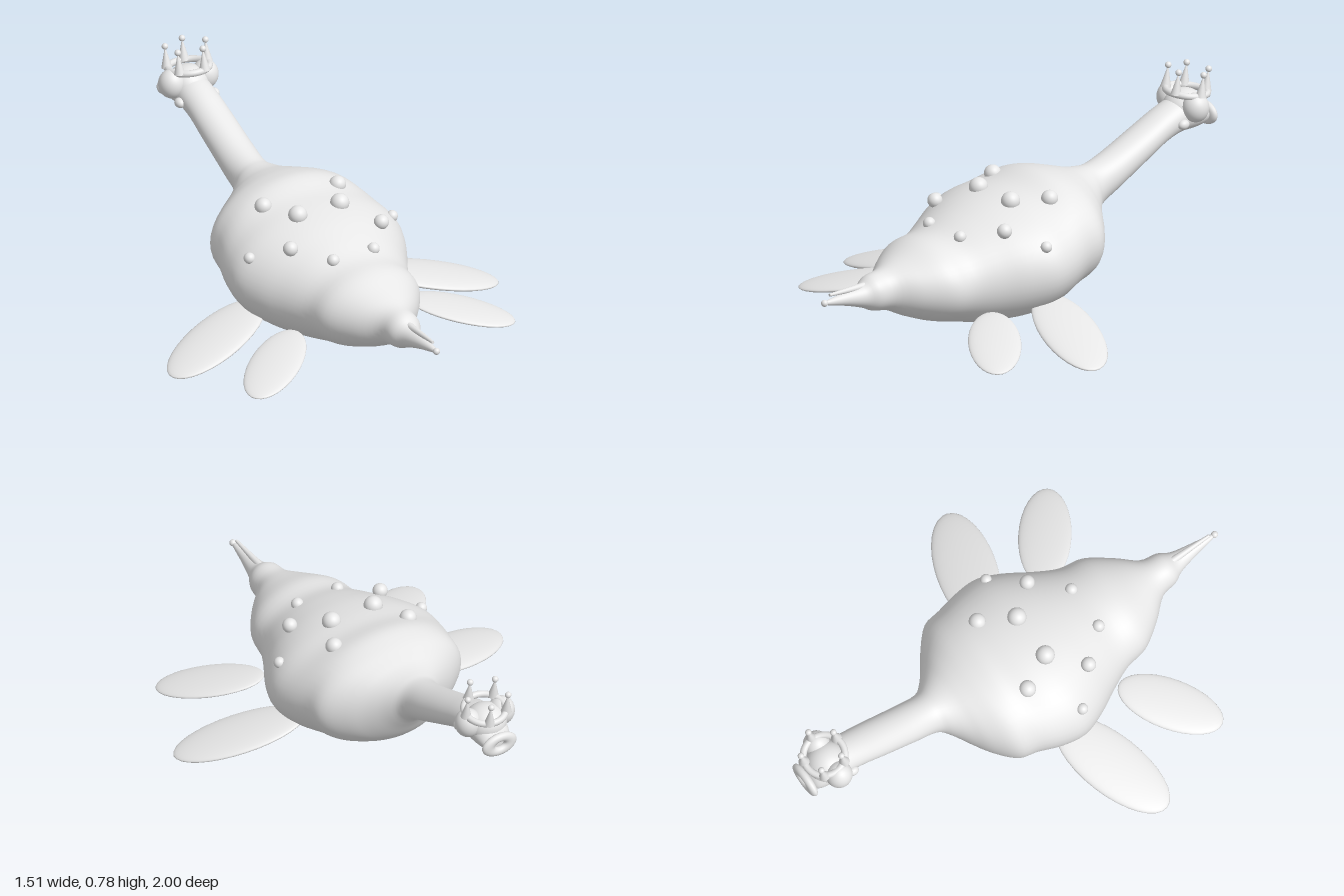
import * as THREE from 'three';

export function createModel() {
  const root = new THREE.Group();
  const grey = new THREE.MeshStandardMaterial({ color: 0xe7e7e7 });
  grey.name = 'pale grey';

  const add = (name, geometry, position, scale = [1, 1, 1], parent = root) => {
    const mesh = new THREE.Mesh(geometry, grey);
    mesh.name = name;
    mesh.position.set(...position);
    mesh.scale.set(...scale);
    parent.add(mesh);
    return mesh;
  };
  const ball = new THREE.SphereGeometry(1, 32, 20);

  // Body, neck and tail: elliptical sections as [z, half width, bottom, top]
  const sections = [
    [0.98, 0.001, 0.257, 0.259], [0.97, 0.01, 0.248, 0.268], [0.88, 0.026, 0.222, 0.276],
    [0.8, 0.044, 0.193, 0.285], [0.75, 0.07, 0.168, 0.312], [0.68, 0.085, 0.152, 0.322],
    [0.6, 0.155, 0.11, 0.35], [0.5, 0.222, 0.068, 0.388], [0.4, 0.242, 0.04, 0.402],
    [0.3, 0.29, 0.014, 0.44], [0.2, 0.347, 0.004, 0.472], [0.1, 0.384, 0.007, 0.492],
    [0, 0.375, 0.022, 0.505], [-0.1, 0.347, 0.05, 0.53], [-0.18, 0.328, 0.075, 0.52],
    [-0.25, 0.255, 0.11, 0.5], [-0.3, 0.185, 0.16, 0.485], [-0.35, 0.123, 0.235, 0.478],
    [-0.4, 0.086, 0.295, 0.48], [-0.5, 0.082, 0.35, 0.51], [-0.65, 0.08, 0.43, 0.572],
    [-0.75, 0.077, 0.48, 0.615], [-0.83, 0.077, 0.502, 0.64], [-0.9, 0.077, 0.502, 0.64],
    [-0.95, 0.066, 0.508, 0.61], [-0.972, 0.045, 0.52, 0.58], [-0.975, 0.001, 0.549, 0.551],
  ];
  const curve = (pick) => new THREE.CatmullRomCurve3(
    sections.map((s) => new THREE.Vector3(...pick(s))), false, 'catmullrom', 0.5);
  const widths = curve((s) => [s[0], s[1], 0]);
  const heights = curve((s) => [s[0], s[2], s[3]]);
  const rings = (sections.length - 1) * 4, sides = 48;
  const points = [], faces = [];
  for (let i = 0; i <= rings; i++) {
    const w = widths.getPoint(i / rings), h = heights.getPoint(i / rings);
    for (let j = 0; j < sides; j++) {
      const a = (j / sides) * Math.PI * 2;
      points.push(w.y * Math.cos(a), (h.y + h.z) / 2 + ((h.z - h.y) / 2) * Math.sin(a), w.x);
      if (i === rings) continue;
      const p = i * sides + j, q = i * sides + ((j + 1) % sides);
      faces.push(p, p + sides, q, q, p + sides, q + sides);
    }
  }
  const bodyGeometry = new THREE.BufferGeometry();
  bodyGeometry.setAttribute('position', new THREE.Float32BufferAttribute(points, 3));
  bodyGeometry.setIndex(faces);
  bodyGeometry.computeVertexNormals();
  add('body', bodyGeometry, [0, 0, 0]);

  // Tail tip with a small spike above it
  add('tailTip', ball, [0, 0.26, 0.986], [0.014, 0.014, 0.014]);
  const spike = add('tailSpike', new THREE.CylinderGeometry(0.006, 0.016, 0.19, 16), [0, 0.283, 0.865]);
  spike.rotation.x = Math.PI / 2 - 0.05;

  // Mirrored parts
  for (const side of [1, -1]) {
    const label = side > 0 ? 'left' : 'right';

    // Flippers: thin paddles sloping down and swept towards the tail
    const flipper = (name, [x, y, z], sweep, droop, size) => {
      const m = add(label + name, ball, [side * x, y, z], size);
      m.rotation.order = 'YZX';
      m.rotation.y = -side * sweep;
      m.rotation.z = -side * droop;
    };
    flipper('LargeFlipper', [0.5, 0.066, 0.143], 0.33, 0.225, [0.274, 0.024, 0.122]);
    flipper('SmallFlipper', [0.43, 0.085, 0.472], 0.66, 0.2, [0.22, 0.02, 0.105]);

    // Warts on the back: x, y, z, radius
    for (const [x, y, z, r] of [
      [0.172, 0.485, -0.035, 0.034], [0.097, 0.488, 0.103, 0.038], [0.33, 0.368, 0.118, 0.023],
      [0.21, 0.429, 0.232, 0.03], [0.093, 0.403, 0.362, 0.025],
    ]) add(label + 'Wart', ball, [side * x, y, z], [r, r, r]);

    add(label + 'Eye', ball, [side * 0.077, 0.615, -0.875], [0.054, 0.06, 0.054]);
    add(label + 'Ear', ball, [side * 0.08, 0.56, -0.81], [0.02, 0.02, 0.025]);
  }

  // Rounded head and puckered snout ring
  add('head', ball, [0, 0.595, -0.88], [0.085, 0.075, 0.085]);
  add('snout', new THREE.TorusGeometry(0.047, 0.027, 16, 40), [0, 0.547, -0.983], [1.06, 0.68, 0.62]);

  // Crown: band, five cones and their beads, tipped towards the snout
  const crown = new THREE.Group();
  crown.name = 'crown';
  crown.position.set(0.008, 0.662, -0.887);
  crown.rotation.x = -0.16;
  root.add(crown);
  const band = add('crownBand', new THREE.TorusGeometry(0.083, 0.014, 12, 48), [0, 0, 0], [1, 1, 1], crown);
  band.rotation.x = Math.PI / 2;
  const cone = new THREE.ConeGeometry(0.022, 0.09, 20);
  for (let i = 0; i < 5; i++) {
    const a = (i * Math.PI * 2) / 5;
    const x = 0.087 * Math.cos(a), z = 0.083 * Math.sin(a);
    add('crownPoint', cone, [x, 0.045, z], [1, 1, 1], crown);
    add('crownBead', ball, [x, 0.09, z], [0.013, 0.013, 0.013], crown);
  }
  return root;
}
